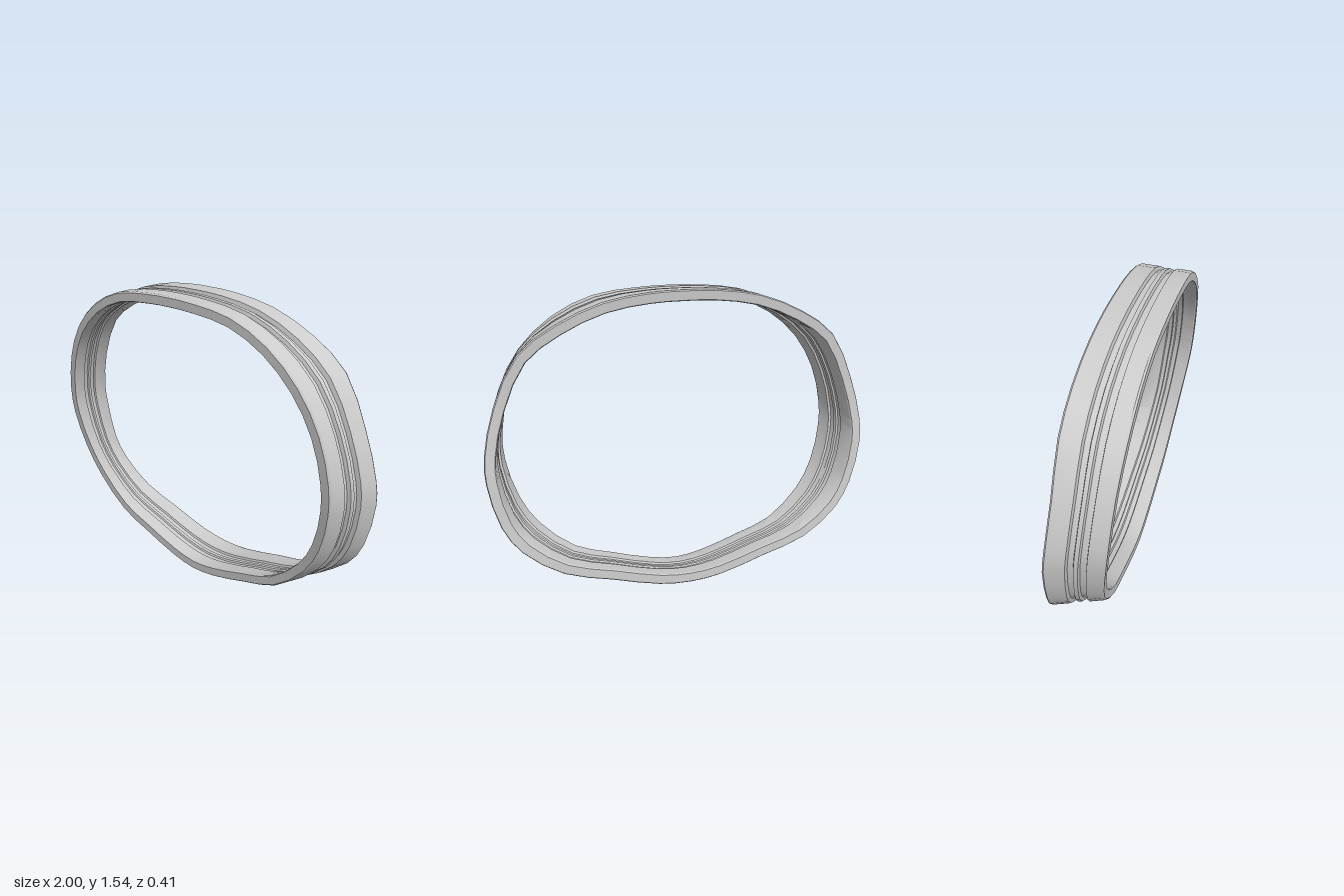
import * as THREE from 'three';
import { toCreasedNormals } from 'three/addons/utils/BufferGeometryUtils.js';

// Outer outlines of the front and back rims: +x half, from top to bottom
const FRONT = [[0, 1.525], [0.16, 1.52], [0.39, 1.492], [0.6, 1.4], [0.77, 1.25], [0.88, 1.06], [0.93, 0.85],
  [0.928, 0.7], [0.87, 0.49], [0.77, 0.325], [0.58, 0.16], [0.38, 0.088], [0.16, 0.022], [0, 0]];
const BACK = [[0, 1.537], [0.17, 1.532], [0.4, 1.497], [0.63, 1.405], [0.815, 1.275], [0.935, 1.04], [0.996, 0.81],
  [0.998, 0.68], [0.945, 0.455], [0.855, 0.315], [0.66, 0.177], [0.42, 0.108], [0.17, 0.042], [0, 0.027]];

// Depth of each rim against height: [z, y]
const FRONT_Z = [[0.054, 0], [0.07, 0.25], [0.102, 0.5], [0.14, 0.76], [0.16, 1], [0.183, 1.25], [0.204, 1.525]];
const BACK_Z = [[-0.202, 0.027], [-0.183, 0.17], [-0.15, 0.42], [-0.135, 0.68], [-0.101, 0.95], [-0.09, 1.15],
  [-0.093, 1.37], [-0.08, 1.537]];

// Cross-section: [share of the way from front to back, depth below the outline]
const PROFILE = [
  [0, 0.006], [0.03, 0], [0.3, 0],                                // front band
  [0.32, 0.02], [0.42, 0.02], [0.44, 0.004], [0.51, 0.004],       // groove and thin rib
  [0.53, 0.02], [0.62, 0.02], [0.64, 0],                          // second groove
  [0.97, 0], [1, 0.006], [0.99, 0.051], [0.96, 0.055],            // back band and rim
  [0.64, 0.05], [0.62, 0.04], [0.53, 0.04], [0.51, 0.048],        // inner wall, grooves and rib
  [0.44, 0.048], [0.42, 0.04], [0.32, 0.04], [0.3, 0.05],
  [0.03, 0.052], [0, 0.048],                                      // front rim
];
const STEPS = 2; // segments per outline point

function lookup(table, y) {
  let k = 1;
  while (k < table.length - 1 && y > table[k][1]) k++;
  const [z0, y0] = table[k - 1], [z1, y1] = table[k];
  return THREE.MathUtils.lerp(z0, z1, THREE.MathUtils.clamp((y - y0) / (y1 - y0), 0, 1));
}

// Smooth closed outline: a half mirrored across x = 0, with its depth from the table
function outline(half, depths) {
  const other = half.slice(1, -1).reverse().map(([x, y]) => [-x, y]);
  const points = [...half, ...other].map(([x, y]) => new THREE.Vector3(x, y, lookup(depths, y)));
  const curve = new THREE.CatmullRomCurve3(points, true);
  return curve.getPoints(points.length * STEPS).slice(0, -1);
}

function bandGeometry() {
  const front = outline(FRONT, FRONT_Z), back = outline(BACK, BACK_Z);
  const n = front.length, m = PROFILE.length;
  const positions = [], index = [];
  const at = (i, s) => front[(i + n) % n].clone().lerp(back[(i + n) % n], s);
  for (let i = 0; i < n; i++) {
    for (const [s, depth] of PROFILE) {
      const p = at(i, s);
      const along = at(i + 1, s).sub(at(i - 1, s)).setZ(0).normalize();
      positions.push(p.x + along.y * depth, p.y - along.x * depth, p.z);
    }
    for (let j = 0; j < m; j++) {
      const i2 = (i + 1) % n, j2 = (j + 1) % m;
      const a = i * m + j, b = i2 * m + j, c = i2 * m + j2, d = i * m + j2;
      index.push(a, b, c, a, c, d);
    }
  }
  const geometry = new THREE.BufferGeometry();
  geometry.setAttribute('position', new THREE.Float32BufferAttribute(positions, 3));
  geometry.setIndex(index);
  return toCreasedNormals(geometry, 0.5);
}

export function createModel() {
  const group = new THREE.Group();
  group.name = 'groovedRing';
  const band = new THREE.Mesh(bandGeometry(), new THREE.MeshStandardMaterial({ color: 0xcccccc }));
  band.name = 'band';
  group.add(band);
  return group;
}
